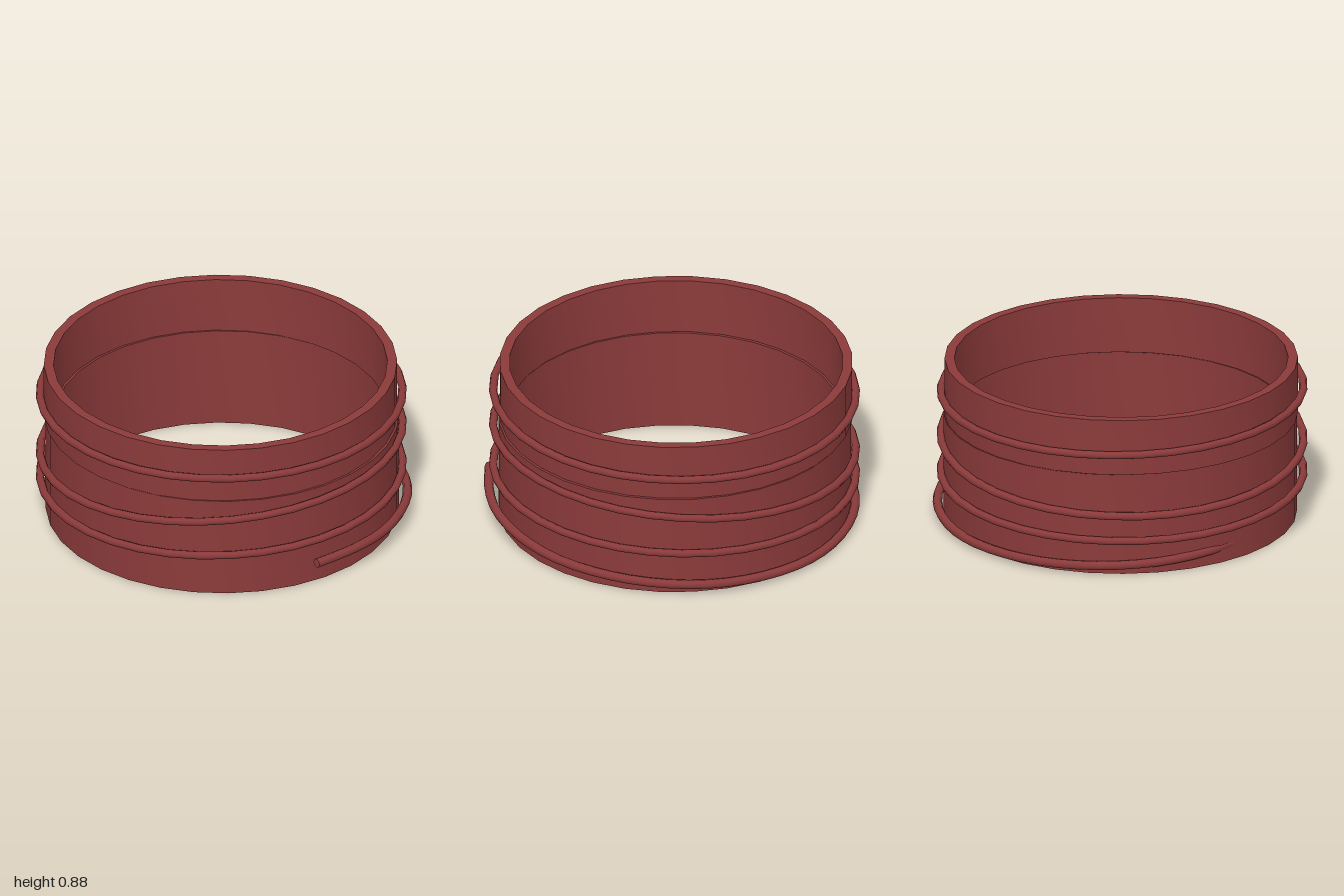
import * as THREE from 'three';
import { toCreasedNormals } from 'three/addons/utils/BufferGeometryUtils.js';

export function createModel() {
  const model = new THREE.Group();
  model.name = 'wireWrappedCollar';
  const red = new THREE.MeshStandardMaterial({ color: 0x8b3a3a });
  red.name = 'dull red';

  const add = (geometry, name, x = 0, y = 0, z = 0) => {
    const mesh = new THREE.Mesh(geometry, red);
    mesh.name = name;
    mesh.position.set(x, y, z);
    model.add(mesh);
  };

  // Open band with a rectangular wall section
  const band = (y0, y1, outer = 0.94, inner = 0.888) => {
    const profile = [[outer, y0], [outer, y1], [inner, y1], [inner, y0], [outer, y0]]
      .map(([r, y]) => new THREE.Vector2(r, y));
    return toCreasedNormals(new THREE.LatheGeometry(profile, 32), 0.6);
  };
  add(band(0, 0.562), 'lowerBand', -0.005);
  add(band(0.566, 0.875), 'upperBand', -0.015, 0, -0.003);

  // Closed wire hoops, tilted by a shear so they stay round from above
  const hoop = (slopeX, slopeZ) => {
    const shear = new THREE.Matrix4().set(
      1, 0, 0, 0,
      slopeX, 1, slopeZ, 0,
      0, 0, 1, 0,
      0, 0, 0, 1);
    return new THREE.TorusGeometry(0.965, 0.022, 8, 36).rotateX(Math.PI / 2).applyMatrix4(shear);
  };
  add(hoop(0, 0.022), 'upperHoop', -0.013, 0.7, 0.006);
  add(hoop(0.073, 0.057), 'middleHoop', -0.013, 0.425, 0.006);
  add(hoop(0.028, 0.026), 'lowerHoop', -0.013, 0.232, 0.006);

  // Loose wire: starts off the wall in front, runs round the back and sinks into the left wall
  const plan = [[0.285, 0.96], [0.5, 0.85], [0.69, 0.705], [0.85, 0.49], [0.95, 0.24], [0.972, 0],
    [0.935, -0.25], [0.83, -0.5], [0.68, -0.69], [0.48, -0.84], [0.25, -0.936], [0, -0.965],
    [-0.25, -0.93], [-0.48, -0.833], [-0.68, -0.675], [-0.82, -0.48], [-0.9, -0.25], [-0.917, -0.03]];
  const path = new THREE.CatmullRomCurve3(
    plan.map(([x, z]) => new THREE.Vector3(x, 0.092 + 0.054 * z, z)));
  add(new THREE.TubeGeometry(path, 40, 0.025, 8), 'looseWire');

  // Flat caps on the loose wire
  [0, 1].forEach((t) => {
    const cap = new THREE.CircleGeometry(0.025, 8);
    const out = path.getTangentAt(t).multiplyScalar(t ? 1 : -1);
    cap.applyQuaternion(new THREE.Quaternion().setFromUnitVectors(new THREE.Vector3(0, 0, 1), out));
    const p = path.getPointAt(t);
    add(cap, t ? 'wireEndCap' : 'wireStartCap', p.x, p.y, p.z);
  });

  return model;
}
